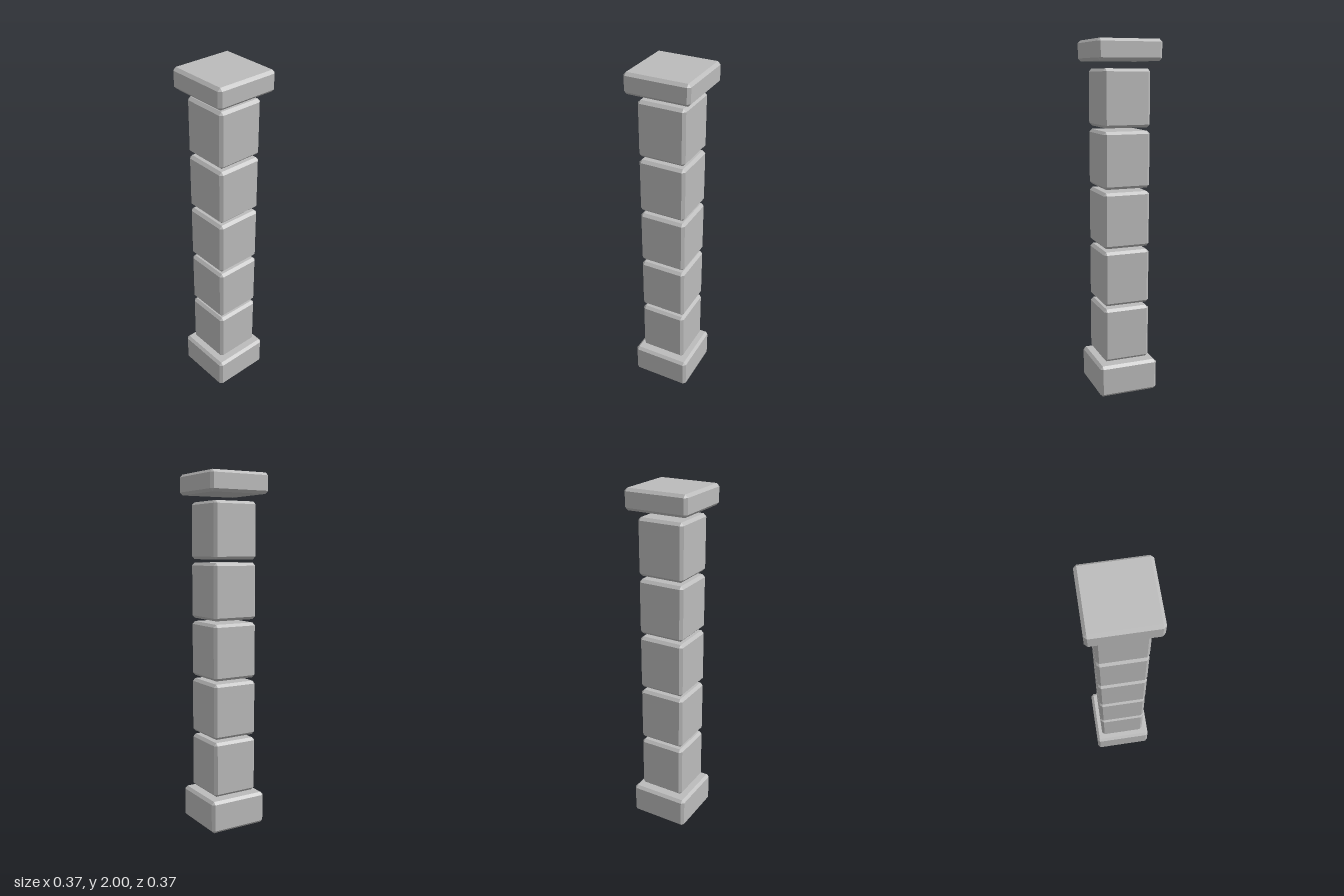
import * as THREE from 'three';
import { ConvexGeometry } from 'three/addons/geometries/ConvexGeometry.js';

const CHAMFER = 0.0155;

// Box with every edge cut at 45 degrees: three points around each corner
function chamferedBox(width, height, depth, c = CHAMFER) {
  const x = width / 2, y = height / 2, z = depth / 2;
  const points = [];
  for (const sx of [-1, 1]) for (const sy of [-1, 1]) for (const sz of [-1, 1]) {
    points.push(
      new THREE.Vector3(sx * x, sy * (y - c), sz * (z - c)),
      new THREE.Vector3(sx * (x - c), sy * y, sz * (z - c)),
      new THREE.Vector3(sx * (x - c), sy * (y - c), sz * z),
    );
  }
  return new ConvexGeometry(points);
}

export function createModel() {
  const model = new THREE.Group();
  model.name = 'pillar';
  const stone = new THREE.MeshStandardMaterial({ color: 0xbbbbbb });
  stone.name = 'grey stone';

  function addBlock(name, width, bottom, top) {
    const mesh = new THREE.Mesh(chamferedBox(width, top - bottom, width), stone);
    mesh.name = name;
    mesh.position.y = (bottom + top) / 2;
    model.add(mesh);
  }

  // Wide foot
  addBlock('base', 0.345, 0, 0.185);

  // Shaft of five equal blocks with open joints
  const blockHeight = 0.315, pitch = 0.334, shaftBottom = 0.196;
  for (let i = 0; i < 5; i++) {
    const bottom = shaftBottom + i * pitch;
    addBlock(`shaftBlock${i + 1}`, 0.27, bottom, bottom + blockHeight);
  }

  // Wide flat slab floating above the shaft
  addBlock('capital', 0.366, 1.886, 2);

  return model;
}
